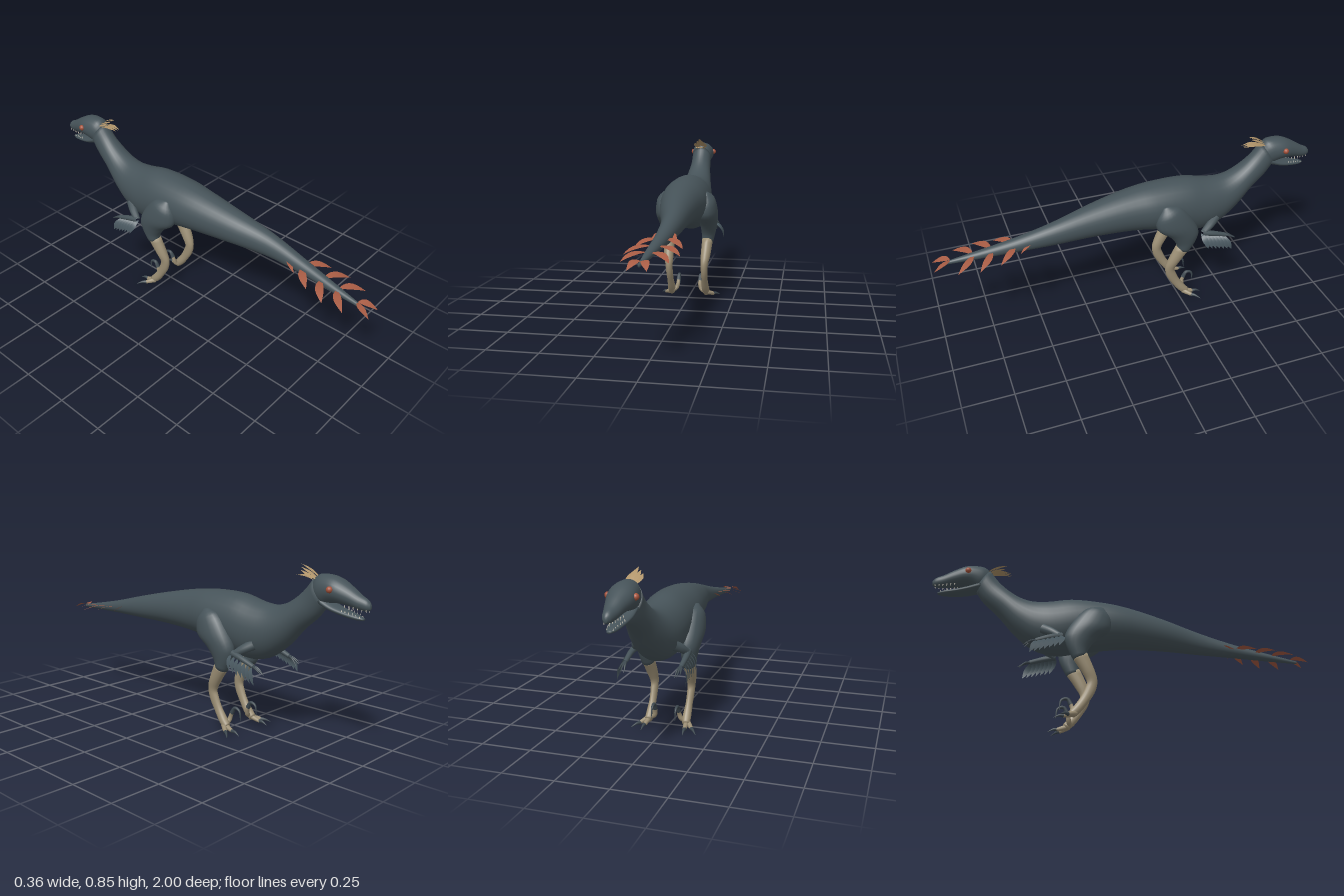
import * as THREE from 'three';

const mat = (name, color, side = THREE.FrontSide) => {
  const m = new THREE.MeshStandardMaterial({ color, side });
  m.name = name;
  return m;
};
const V = (x, y, z) => new THREE.Vector3(x, y, z);

// Smooth skin through oval rings; each is [upper z, upper y, lower z, lower y, centre x, half width]
function loft(sections, steps = 4, sides = 20) {
  const upper = new THREE.CatmullRomCurve3(sections.map((s) => V(s[4], s[1], s[0])));
  const lower = new THREE.CatmullRomCurve3(sections.map((s) => V(s[5], s[3], s[2])));
  const n = (sections.length - 1) * steps;
  const pos = [], index = [], centres = [];
  for (let i = 0; i <= n; i++) {
    const t = upper.getPoint(i / n), b = lower.getPoint(i / n);
    const cy = (t.y + b.y) / 2, cz = (t.z + b.z) / 2;
    centres.push([t.x, cy, cz]);
    for (let j = 0; j < sides; j++) {
      const a = (j / sides) * Math.PI * 2, s = Math.sin(a);
      pos.push(t.x + Math.cos(a) * b.x, cy + s * (t.y - cy), cz + s * (t.z - cz));
    }
  }
  for (let i = 0; i < n; i++) {
    for (let j = 0; j < sides; j++) {
      const k = (j + 1) % sides, a = i * sides + j, b = i * sides + k;
      index.push(a, a + sides, b, b, a + sides, b + sides);
    }
  }
  // End caps
  const c = pos.length / 3;
  pos.push(...centres[0], ...centres[n]);
  for (let j = 0; j < sides; j++) {
    const k = (j + 1) % sides;
    index.push(c, j, k, c + 1, n * sides + k, n * sides + j);
  }
  const g = new THREE.BufferGeometry();
  g.setAttribute('position', new THREE.Float32BufferAttribute(pos, 3));
  g.setIndex(index);
  g.computeVertexNormals();
  return g;
}

// Round tube that narrows from r0 to r1
function taper(points, r0, r1, n = 10, sides = 10) {
  const curve = new THREE.CatmullRomCurve3(points);
  const g = new THREE.TubeGeometry(curve, n, r0, sides);
  const p = g.attributes.position, v = V(0, 0, 0);
  for (let i = 0; i < p.count; i++) {
    const t = Math.floor(i / (sides + 1)) / n;
    const c = curve.getPointAt(t);
    v.fromBufferAttribute(p, i).sub(c).multiplyScalar(1 + (r1 / r0 - 1) * t).add(c);
    p.setXYZ(i, v.x, v.y, v.z);
  }
  return g;
}

// Thin pointed feather along a bent spine
function feather(root, mid, tip, across, half, n = 8) {
  const curve = new THREE.QuadraticBezierCurve3(root, mid, tip);
  const w = across.clone().normalize(), pos = [], index = [];
  for (let i = 0; i <= n; i++) {
    const t = i / n, c = curve.getPoint(t);
    const h = half * Math.max(0.02, Math.sin(Math.PI * Math.pow(0.06 + 0.94 * t, 1.2)));
    for (const s of [-1, 1]) pos.push(c.x + s * h * w.x, c.y + s * h * w.y, c.z + s * h * w.z);
    if (i < n) index.push(2 * i, 2 * i + 1, 2 * i + 2, 2 * i + 1, 2 * i + 3, 2 * i + 2);
  }
  const g = new THREE.BufferGeometry();
  g.setAttribute('position', new THREE.Float32BufferAttribute(pos, 3));
  g.setIndex(index);
  g.computeVertexNormals();
  return g;
}

export function createModel() {
  const model = new THREE.Group();
  model.name = 'featheredDinosaur';
  const slate = mat('slateSkin', 0x465359);
  const tan = mat('tanLegs', 0x9c8f75);
  const rust = mat('rustFeathers', 0xa85c44, THREE.DoubleSide);
  const crestMat = mat('crestFeathers', 0xb0946a, THREE.DoubleSide);
  const wingMat = mat('armFeathers', 0x4b5a62, THREE.DoubleSide);
  const clawMat = mat('claws', 0x3d484f);
  const eyeMat = mat('eyes', 0xa6523a);
  const toothMat = mat('teeth', 0xe4dccb);
  const add = (name, geo, material, parent = model) => {
    const m = new THREE.Mesh(geo, material);
    m.name = name;
    parent.add(m);
    return m;
  };

  // Tail, trunk and neck
  add('body', loft([
    [0.945, 0.47, 0.945, 0.455, 0, 0.006], [0.8, 0.498, 0.8, 0.46, 0.01, 0.02],
    [0.6, 0.54, 0.6, 0.468, 0.025, 0.034], [0.4, 0.59, 0.4, 0.47, 0.03, 0.051],
    [0.2, 0.635, 0.2, 0.465, 0.012, 0.079], [0, 0.672, 0, 0.45, 0, 0.105],
    [-0.12, 0.685, -0.1, 0.435, 0, 0.118], [-0.3, 0.685, -0.25, 0.4, 0, 0.122],
    [-0.42, 0.66, -0.36, 0.375, 0, 0.115], [-0.5, 0.655, -0.47, 0.395, 0, 0.1],
    [-0.56, 0.67, -0.57, 0.465, 0, 0.084], [-0.62, 0.705, -0.66, 0.56, 0, 0.068],
    [-0.67, 0.75, -0.74, 0.63, 0, 0.057], [-0.715, 0.805, -0.785, 0.69, 0, 0.054],
  ], 4, 28), slate);

  // Head with upper jaw
  add('head', loft([
    [-0.715, 0.795, -0.765, 0.69, 0, 0.05], [-0.74, 0.822, -0.785, 0.69, 0, 0.057],
    [-0.79, 0.827, -0.805, 0.7, 0, 0.061], [-0.84, 0.818, -0.84, 0.706, 0, 0.061],
    [-0.9, 0.787, -0.9, 0.7, 0, 0.045], [-0.95, 0.755, -0.95, 0.69, 0, 0.031],
    [-0.985, 0.737, -0.985, 0.689, 0, 0.02], [-1, 0.72, -1, 0.697, 0, 0.008],
  ], 4, 24), slate);
  add('lowerJaw', loft([
    [-0.76, 0.735, -0.765, 0.685, 0, 0.047], [-0.82, 0.703, -0.82, 0.667, 0, 0.045],
    [-0.88, 0.683, -0.88, 0.653, 0, 0.035], [-0.94, 0.668, -0.94, 0.645, 0, 0.023],
    [-0.97, 0.657, -0.97, 0.647, 0, 0.009],
  ], 4, 20), slate);

  // Crest feathers behind the head
  for (let i = -2; i <= 2; i++) {
    const a = Math.abs(i);
    add('crestFeather', feather(V(i * 0.009, 0.805 - a * 0.003, -0.735),
      V(i * 0.015, 0.84 - a * 0.012, -0.70), V(i * 0.014, 0.858 - a * 0.012, -0.635 - a * 0.01),
      V(1, -i * 0.15, 0), 0.011), crestMat);
    if (a < 2) {
      add('lowerCrestFeather', feather(V(i * 0.016, 0.79, -0.725), V(i * 0.02, 0.82, -0.68),
        V(i * 0.012, 0.805, -0.61), V(1, 0, 0), 0.01), crestMat);
    }
  }

  // Paired parts; s = 1 is the +x side
  for (const s of [1, -1]) {
    const P = (x, y, z) => V(s * x, y, z);
    const sided = (rows) => rows.map((r) => [...r.slice(0, 4), s * r[4], r[5]]);

    const eye = add('eye', new THREE.SphereGeometry(0.015, 14, 10), eyeMat);
    eye.position.set(s * 0.06, 0.77, -0.83);

    // Teeth along both jaws
    for (let i = 0; i < 6; i++) {
      const t = i / 5;
      const up = add('upperTooth', new THREE.ConeGeometry(0.003, 0.014, 5), toothMat);
      up.position.set(s * (0.03 - 0.018 * t), 0.698 - 0.01 * t, -0.89 - 0.095 * t);
      up.rotation.x = Math.PI;
      const low = add('lowerTooth', new THREE.ConeGeometry(0.0025, 0.012, 5), toothMat);
      low.position.set(s * (0.03 - 0.017 * t), 0.683 - 0.02 * t, -0.875 - 0.08 * t);
    }

    // Hind leg
    add('thigh', loft(sided([
      [-0.175, 0.61, -0.14, 0.605, 0.11, 0.012], [-0.235, 0.59, -0.105, 0.54, 0.108, 0.048],
      [-0.3, 0.51, -0.11, 0.48, 0.11, 0.057], [-0.335, 0.43, -0.175, 0.425, 0.112, 0.047],
      [-0.325, 0.38, -0.215, 0.37, 0.11, 0.038], [-0.288, 0.31, -0.224, 0.335, 0.106, 0.031],
    ])), slate);
    add('shin', loft(sided([
      [-0.296, 0.325, -0.22, 0.35, 0.106, 0.03], [-0.24, 0.245, -0.18, 0.262, 0.101, 0.026],
      [-0.217, 0.2, -0.165, 0.212, 0.097, 0.02], [-0.225, 0.17, -0.175, 0.155, 0.096, 0.018],
      [-0.247, 0.12, -0.205, 0.1, 0.095, 0.017], [-0.28, 0.07, -0.245, 0.042, 0.095, 0.021],
      [-0.3, 0.045, -0.275, 0.015, 0.097, 0.018],
    ]), 4, 16), tan);
    add('middleToe', taper([P(0.097, 0.035, -0.275), P(0.1, 0.026, -0.3), P(0.103, 0.017, -0.33)], 0.015, 0.009), tan);
    add('middleClaw', taper([P(0.103, 0.018, -0.325), P(0.104, 0.018, -0.345), P(0.106, 0.004, -0.373)], 0.01, 0.001), clawMat);
    add('outerToe', taper([P(0.1, 0.035, -0.27), P(0.118, 0.026, -0.29), P(0.135, 0.017, -0.312)], 0.015, 0.009), tan);
    add('outerClaw', taper([P(0.132, 0.018, -0.308), P(0.145, 0.017, -0.325), P(0.166, 0.004, -0.35)], 0.01, 0.001), clawMat);
    add('raisedToe', taper([P(0.092, 0.04, -0.265), P(0.07, 0.052, -0.275), P(0.062, 0.075, -0.28), P(0.061, 0.1, -0.29)], 0.014, 0.009), tan);
    add('sickleClaw', taper([P(0.061, 0.092, -0.286), P(0.06, 0.121, -0.305), P(0.06, 0.112, -0.333), P(0.06, 0.06, -0.342)], 0.012, 0.001, 14), clawMat);

    // Arm, hand and hanging feathers
    add('upperArm', taper([P(0.085, 0.47, -0.44), P(0.112, 0.445, -0.4), P(0.13, 0.415, -0.355)], 0.027, 0.016), slate);
    add('forearm', taper([P(0.13, 0.42, -0.35), P(0.136, 0.405, -0.41), P(0.135, 0.38, -0.48)], 0.017, 0.011), slate);
    for (let i = -1; i <= 1; i++) {
      add('finger', taper([P(0.135, 0.382, -0.475), P(0.135 + i * 0.009, 0.372, -0.505),
        P(0.135 + i * 0.012, 0.35 + i * 0.007, -0.54 + Math.abs(i) * 0.008)], 0.008, 0.001, 8, 8), clawMat);
    }
    for (let i = 0; i < 7; i++) {
      const t = i / 6;
      add('armFeather', feather(P(0.13, 0.415 - 0.035 * t, -0.345 - 0.125 * t),
        P(0.175, 0.41 - 0.05 * t, -0.35 - 0.13 * t), P(0.178 - 0.013 * t, 0.345 - 0.045 * t, -0.37 - 0.14 * t),
        P(0.1, 0.35, -1), 0.015), wingMat);
    }

    // Tail feathers: root x, root z, reach, sweep, half width
    for (const [x, z, reach, sweep, half] of [
      [0.027, 0.51, 0.058, 0.075, 0.013], [0.025, 0.6, 0.105, 0.09, 0.02], [0.017, 0.71, 0.12, 0.08, 0.02],
      [0.01, 0.8, 0.1, 0.09, 0.02], [0.002, 0.91, 0.04, 0.085, 0.018],
    ]) {
      const y = 0.515 - (z - 0.5) * 0.09;
      add('tailFeather', feather(V(x, y - 0.005, z), V(x + s * reach * 0.6, y + 0.015, z + sweep * 0.25),
        V(x + s * reach, y - 0.025, z + sweep), V(-s * sweep, -0.02, reach), half), rust);
    }
  }
  return model;
}
